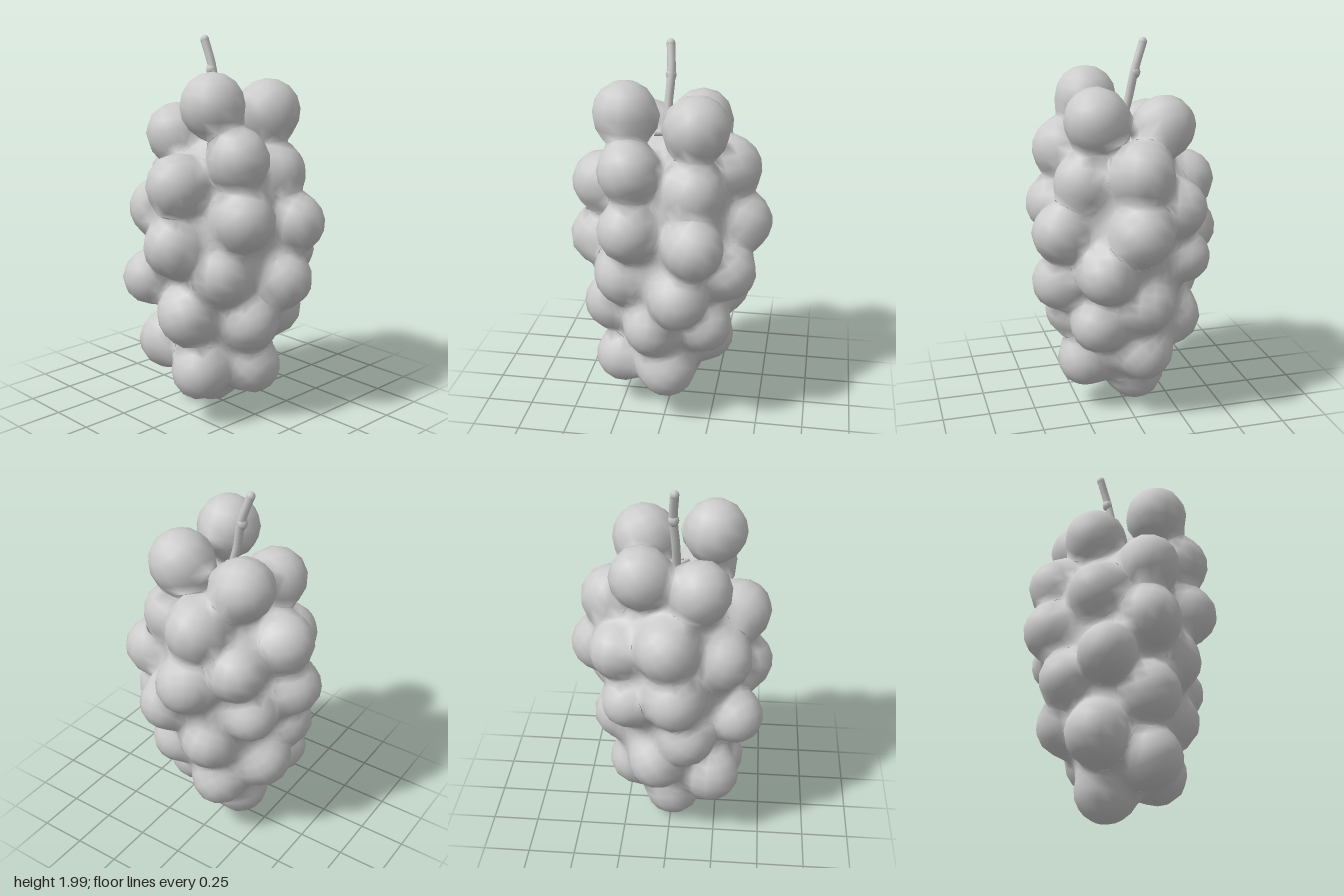
import * as THREE from 'three';

// Berry centres and radii: [x, y, z, r], from the top of the bunch to its tip
const BERRIES = [
  [0.145, 1.675, 0.21, 0.165], [0.175, 1.62, -0.155, 0.168], [-0.18, 1.57, -0.14, 0.16], [-0.185, 1.5, 0.155, 0.16],
  [0.29, 1.42, 0.17, 0.155], [-0.02, 1.37, -0.31, 0.16], [0.24, 1.31, -0.15, 0.155], [0.04, 1.28, 0.355, 0.16],
  [-0.34, 1.25, 0, 0.155], [-0.23, 1.17, -0.265, 0.14], [-0.2, 1.12, 0.27, 0.155], [0.33, 1.12, 0.17, 0.155],
  [0, 1.08, -0.38, 0.155], [0.37, 1.06, -0.17, 0.15], [0.04, 0.97, 0.38, 0.155], [-0.375, 0.97, 0.04, 0.15],
  [-0.28, 0.89, -0.21, 0.13], [0.17, 0.86, -0.325, 0.145], [0.22, 0.82, 0.22, 0.145], [0.36, 0.77, -0.09, 0.15],
  [-0.185, 0.76, 0.355, 0.14], [-0.31, 0.69, 0.1, 0.14], [-0.06, 0.67, -0.28, 0.14], [0.06, 0.59, 0.315, 0.15],
  [0.19, 0.55, -0.21, 0.14], [0.27, 0.55, 0.06, 0.145], [-0.265, 0.5, -0.06, 0.15], [-0.195, 0.38, 0.225, 0.155],
  [-0.07, 0.36, -0.195, 0.145], [0.09, 0.28, 0.25, 0.15], [0.215, 0.28, -0.01, 0.15], [-0.07, 0.165, 0.01, 0.16],
];
// Flesh between the berries
const CORE = [[0, 0.38, 0.03, 0.225], [0, 0.62, 0, 0.3], [0, 0.92, 0, 0.36], [0, 1.17, 0, 0.325], [0.02, 1.36, 0, 0.16]];
const ALL = [...BERRIES, ...CORE];
const BLEND = 0.03;

// Smooth union of all spheres: distance, and its gradient written to g
function field(p, g) {
  let sum = 0;
  g.set(0, 0, 0);
  for (const [x, y, z, r] of ALL) {
    const dx = p.x - x, dy = p.y - y, dz = p.z - z;
    const len = Math.hypot(dx, dy, dz) || 1e-6;
    const w = Math.exp(-(len - r) / BLEND);
    sum += w;
    g.x += w * dx / len;
    g.y += w * dy / len;
    g.z += w * dz / len;
  }
  g.normalize();
  return -BLEND * Math.log(sum);
}

// A faceted ball whose near-seam vertices are drawn out into soft fillets
function blendedBall([x, y, z, r], index, cols, rows) {
  const geo = new THREE.SphereGeometry(r, cols, rows);
  geo.rotateX(index * 0.7).rotateY(index * 2.4).translate(x, y, z);
  const pos = geo.attributes.position, nor = geo.attributes.normal;
  const p = new THREE.Vector3(), g = new THREE.Vector3();
  for (let i = 0; i < pos.count; i++) {
    p.fromBufferAttribute(pos, i);
    const start = field(p, g);
    if (start > -0.09) {
      for (let k = 0; k < 4; k++) p.addScaledVector(g, -field(p, g));
    }
    field(p, g);
    pos.setXYZ(i, p.x, p.y, p.z);
    nor.setXYZ(i, g.x, g.y, g.z);
  }
  return geo;
}

export function createModel() {
  const group = new THREE.Group();
  const material = new THREE.MeshStandardMaterial({ color: 0xcccccc });
  const add = (name, geo) => {
    const mesh = new THREE.Mesh(geo, material);
    mesh.name = name;
    group.add(mesh);
    return mesh;
  };
  const path = (points) => new THREE.CatmullRomCurve3(points.map((q) => new THREE.Vector3(...q)));

  BERRIES.forEach((b, i) => add('berry', blendedBall(b, i, 12, 8)));
  CORE.forEach((c, i) => add('core', blendedBall(c, i, 32, 20)));

  // Main stem with a slight joint and a rounded cut end
  const stem = path([[0.02, 1.42, 0], [0.005, 1.54, 0.02], [-0.035, 1.68, 0.02], [-0.065, 1.83, 0.01], [-0.112, 1.975, 0.02]]);
  add('stem', new THREE.TubeGeometry(stem, 14, 0.022, 8));
  const ball = (name, at, r, sy) => {
    const mesh = add(name, new THREE.SphereGeometry(r, 8, 6));
    mesh.position.set(...at);
    mesh.scale.y = sy;
  };
  ball('stemJoint', [-0.07, 1.825, 0.012], 0.028, 1.2);
  ball('stemEnd', [-0.112, 1.975, 0.02], 0.023, 1.08);

  // Twigs from the stem foot to the top berries
  for (const [x, z] of [[0.07, -0.06], [-0.07, -0.07], [-0.08, 0.07], [0.06, 0.08]]) {
    const twig = path([[0, 1.52, 0.01], [x * 0.5, 1.54, z * 0.5], [x, 1.55, z]]);
    add('twig', new THREE.TubeGeometry(twig, 5, 0.011, 6));
  }
  return group;
}
